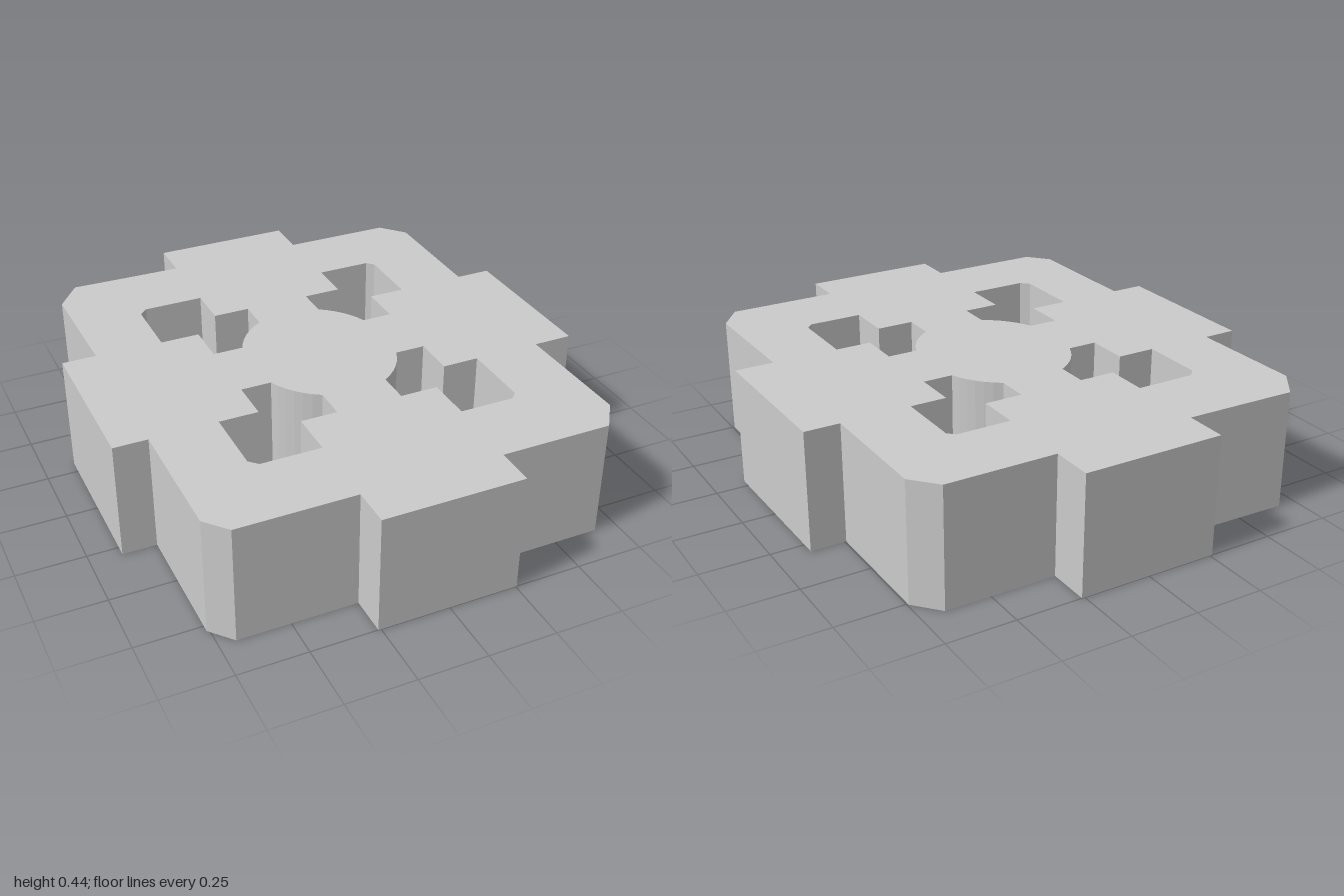
import * as THREE from 'three';

const HEIGHT = 0.44;

// Outer outline as [x, z] corners, with four tabs and clipped corners
const OUTLINE = [
  [-0.26, -1], [0.26, -1], [0.26, -0.845], [0.665, -0.845], [0.745, -0.755],
  [0.745, -0.3], [0.875, -0.3], [0.88, 0.29], [0.735, 0.29], [0.742, 0.75],
  [0.665, 0.855], [0.255, 0.855], [0.255, 1], [-0.26, 1], [-0.26, 0.855],
  [-0.69, 0.855], [-0.76, 0.775], [-0.76, 0.29], [-0.885, 0.29], [-0.885, -0.305],
  [-0.76, -0.305], [-0.765, -0.74], [-0.68, -0.855], [-0.5, -0.85], [-0.26, -0.845],
];

// Distances from the centre to the steps of each opening
const LEFT = { sign: 1, rim: 0.487, step: 0.352, inner: 0.26, hubWide: 0.24, neck: 0.12, cut: 0.025 };
const RIGHT = { sign: -1, rim: 0.512, step: 0.367, inner: 0.26, hubWide: 0.255, neck: 0.125, cut: 0.03 };
const FRONT = { sign: 1, rim: 0.573, step: 0.4, waist: 0.288, hubNear: 0.13, hubFar: 0.28 };
const BACK = { sign: -1, rim: 0.565, step: 0.405, waist: 0.298, hubNear: 0.138, hubFar: 0.288 };

const toVectors = (points) => points.map(([x, z]) => new THREE.Vector2(x, z));

// Stepped opening whose inner corner follows the round hub
function opening(a, b) {
  const points = [
    [a.rim - a.cut, b.rim], [a.inner, b.rim], [a.inner, b.step],
    [a.neck, b.step],
  ];
  const start = new THREE.Vector2(a.neck, b.hubFar);
  const end = new THREE.Vector2(a.hubWide, b.hubNear);
  const segments = 6;
  for (let i = 0; i <= segments; i++) {
    const t = i / segments;
    const angle = THREE.MathUtils.lerp(start.angle(), end.angle(), t);
    const radius = THREE.MathUtils.lerp(start.length(), end.length(), t);
    points.push([radius * Math.cos(angle), radius * Math.sin(angle)]);
  }
  points.push(
    [a.step, b.hubNear], [a.step, b.waist], [a.rim, b.waist], [a.rim, b.rim - a.cut],
  );
  return new THREE.Path(toVectors(points.map(([x, z]) => [x * a.sign, z * b.sign])));
}

export function createModel() {
  const group = new THREE.Group();
  group.name = 'tabbedBlock';

  const shape = new THREE.Shape(toVectors(OUTLINE));
  for (const a of [LEFT, RIGHT]) {
    for (const b of [FRONT, BACK]) shape.holes.push(opening(a, b));
  }

  // Lay the extruded plate flat on the ground
  const geometry = new THREE.ExtrudeGeometry(shape, { depth: HEIGHT, bevelEnabled: false });
  geometry.rotateX(Math.PI / 2).translate(0, HEIGHT, 0);

  const plate = new THREE.Mesh(
    geometry,
    new THREE.MeshStandardMaterial({ color: 0xcccccc, flatShading: true }),
  );
  plate.name = 'plate';
  group.add(plate);
  return group;
}
